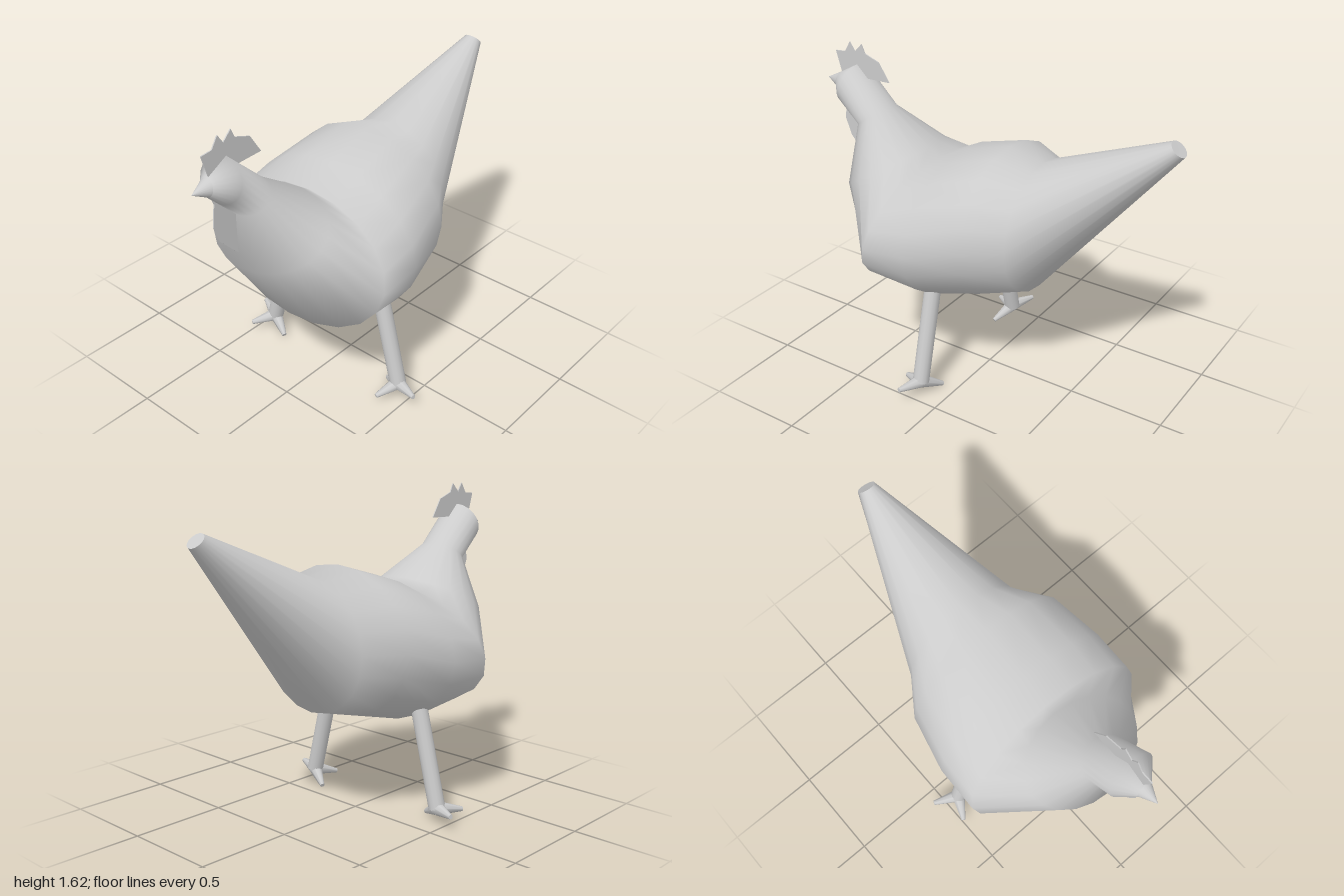
import * as THREE from 'three';

const material = new THREE.MeshStandardMaterial({ color: 0xcccccc });
const thinMaterial = new THREE.MeshStandardMaterial({ color: 0xcccccc, side: THREE.DoubleSide });
const SEGMENTS = 20;
const CENTRE_X = 0.007;

function add(parent, name, geometry, mat = material) {
  const mesh = new THREE.Mesh(geometry, mat);
  mesh.name = name;
  parent.add(mesh);
  return mesh;
}

// Skin over elliptical rings, back to front: [topZ, topY, bottomZ, bottomY, halfWidth]
function loft(rings) {
  const positions = [], index = [];
  rings.forEach(([tz, ty, bz, by, w], i) => {
    for (let j = 0; j < SEGMENTS; j++) {
      const a = (j / SEGMENTS) * Math.PI * 2, c = Math.cos(a);
      positions.push(CENTRE_X + w * Math.sin(a), (ty + by + (ty - by) * c) / 2, (tz + bz + (tz - bz) * c) / 2);
      if (i === 0) continue;
      const k = (j + 1) % SEGMENTS, back = (i - 1) * SEGMENTS, front = i * SEGMENTS;
      index.push(back + j, front + j, back + k, front + j, front + k, back + k);
    }
  });
  const geometry = new THREE.BufferGeometry();
  geometry.setAttribute('position', new THREE.Float32BufferAttribute(positions, 3));
  geometry.setIndex(index);
  geometry.computeVertexNormals();
  return geometry;
}

// Thin upright sheet from a [z, y] outline
function sheet(outline) {
  const shape = new THREE.Shape(outline.map(([z, y]) => new THREE.Vector2(-z, y)));
  const geometry = new THREE.ExtrudeGeometry(shape, { depth: 0.006, bevelEnabled: false });
  return geometry.translate(0, 0, -0.003).rotateY(Math.PI / 2).translate(CENTRE_X, 0, 0);
}

// Round bar between two points
function bar(from, to, r0, r1, sides) {
  const dir = to.clone().sub(from);
  const geometry = new THREE.CylinderGeometry(r1, r0, dir.length(), sides);
  const turn = new THREE.Quaternion().setFromUnitVectors(new THREE.Vector3(0, 1, 0), dir.normalize());
  const mid = from.clone().add(to).multiplyScalar(0.5);
  return geometry.applyQuaternion(turn).translate(mid.x, mid.y, mid.z);
}

export function createModel() {
  const group = new THREE.Group();
  group.name = 'hen';

  // Tail, body, neck and head in one skin
  const tailEnd = [-0.935, 1.5, -1.0, 1.44, 0.045];
  const faceRing = [0.91, 1.45, 0.925, 1.365, 0.042];
  add(group, 'body', loft([
    tailEnd,
    [-0.3, 1.24, -0.3, 0.575, 0.335],
    [-0.12, 1.28, -0.12, 0.53, 0.46],
    [0.15, 1.2, 0.15, 0.46, 0.52],
    [0.3, 1.12, 0.47, 0.5, 0.525],
    [0.36, 1.16, 0.77, 0.93, 0.31],
    [0.6, 1.32, 0.77, 1.21, 0.12],
    [0.8, 1.51, 0.87, 1.31, 0.125],
    faceRing,
  ]));
  add(group, 'tailTip', loft([[-0.967, 1.47, -0.967, 1.47, 0], tailEnd]));
  add(group, 'beak', loft([faceRing, [1, 1.405, 1, 1.405, 0]]));

  // Comb and wattle
  add(group, 'comb', sheet([
    [0.6, 1.45], [0.66, 1.545], [0.745, 1.575], [0.765, 1.62], [0.81, 1.575],
    [0.84, 1.62], [0.875, 1.565], [0.935, 1.56], [0.9, 1.44],
  ]), thinMaterial);
  add(group, 'wattle', sheet([
    [0.91, 1.38], [0.885, 1.31], [0.898, 1.2], [0.865, 1.11], [0.77, 1.01], [0.75, 1.2], [0.85, 1.38],
  ]), thinMaterial);

  // Legs with three toes each; toe tips are offsets in x and z with a height
  const legs = [
    { name: 'left', side: 1, toes: [[0.13, 0.08, 0.04], [-0.11, 0.015, -0.055], [-0.045, 0.04, 0.12]] },
    { name: 'right', side: -1, toes: [[-0.13, 0.08, -0.055], [0.11, 0.015, 0.05], [-0.065, 0.055, 0.12]] },
  ];
  for (const { name, side, toes } of legs) {
    const leg = new THREE.Group();
    leg.name = name + 'Leg';
    group.add(leg);
    const hip = new THREE.Vector3(side * 0.3, 0.6, 0.135);
    const ankle = new THREE.Vector3(side * 0.432, 0.075, 0.135);
    add(leg, 'shank', bar(ankle, hip, 0.042, 0.042, 14));
    for (const [x, y, z] of toes) {
      const tip = new THREE.Vector3(ankle.x + x, y, ankle.z + z);
      add(leg, 'toe', bar(ankle, tip, 0.036, 0.012, 8));
    }
  }
  return group;
}
